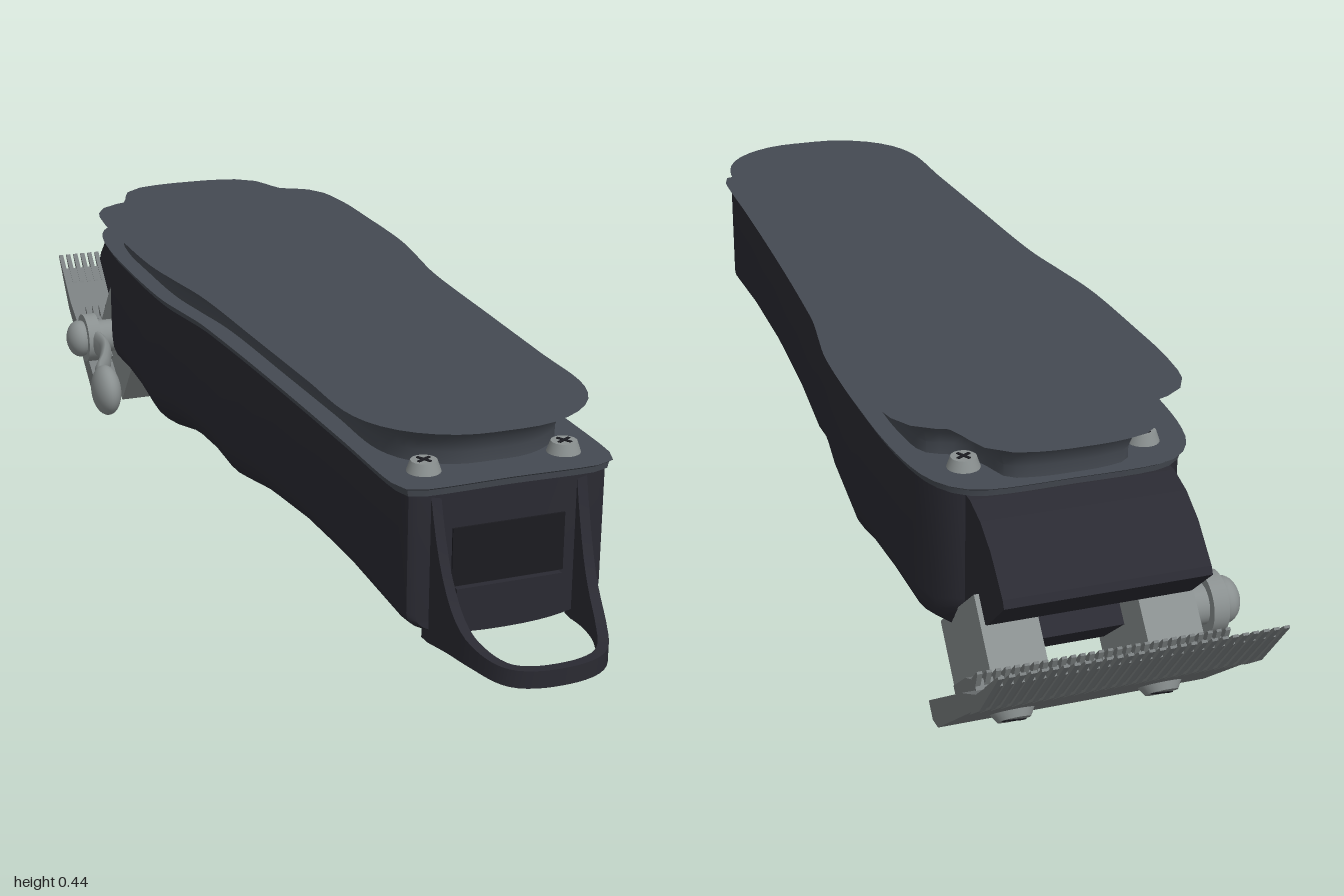
import * as THREE from 'three';
import { toCreasedNormals } from 'three/addons/utils/BufferGeometryUtils.js';

const mat = (name, color) => {
  const m = new THREE.MeshStandardMaterial({ color });
  m.name = name;
  return m;
};
const CX = 0.04; // centre line of the body

// Skin of equal-length rings of [x,y,z], closed at both ends (or joined end to end)
function loft(rings, crease = 0.6) {
  const n = rings[0].length, pos = rings.flat(2), idx = [];
  for (let r = 0; r < rings.length - 1; r++)
    for (let i = 0; i < n; i++) {
      const a = r * n + i, b = r * n + (i + 1) % n;
      idx.push(a, b, b + n, a, b + n, a + n);
    }
  [0, rings.length - 1].forEach((r, end) => {
    const c = pos.length / 3;
    for (let k = 0; k < 3; k++) pos.push(rings[r].reduce((s, p) => s + p[k], 0) / n);
    for (let i = 0; i < n; i++) {
      const a = r * n + i, b = r * n + (i + 1) % n;
      if (end) idx.push(c, a, b); else idx.push(c, b, a);
    }
  });
  // Turn the faces outwards if the signed volume is negative
  let vol = 0;
  const v = i => new THREE.Vector3().fromArray(pos, i * 3);
  for (let i = 0; i < idx.length; i += 3) vol += v(idx[i]).dot(v(idx[i + 1]).cross(v(idx[i + 2])));
  if (vol < 0) idx.reverse();
  const g = new THREE.BufferGeometry();
  g.setAttribute('position', new THREE.Float32BufferAttribute(pos, 3));
  g.setIndex(idx);
  return toCreasedNormals(g, crease);
}

// Side profile of [forward (-z), y] points, extruded across x about the centre
function sideExtrude(pts, width) {
  const g = new THREE.ExtrudeGeometry(new THREE.Shape(pts.map(p => new THREE.Vector2(...p))),
    { depth: width, bevelEnabled: false });
  return g.translate(0, 0, -width / 2).rotateY(Math.PI / 2);
}

// Closed plan outline mirrored from half-outline points [x,z], smoothed
function planOutline(half, count) {
  const all = [...half, ...half.slice(1, -1).reverse().map(([x, z]) => [-x, z])];
  return new THREE.CatmullRomCurve3(all.map(([x, z]) => new THREE.Vector3(x, 0, z)), true, 'centripetal')
    .getSpacedPoints(count).slice(0, count);
}

// Stack of the outline, each layer [inset, y]
function stack(outline, layers) {
  const n = outline.length;
  return loft(layers.map(([d, y]) => outline.map((p, i) => {
    const t = outline[(i + 1) % n].clone().sub(outline[(i + n - 1) % n]).normalize();
    return [CX + p.x + t.z * d * inSign, y, p.z - t.x * d * inSign];
  })));
}
const inSign = -1; // outlines run from +z over +x to -z

export function createModel() {
  const root = new THREE.Group();
  const bodyMat = mat('dark housing', 0x2a2a32);
  const lidMat = mat('slate lid', 0x454a52);
  const metal = mat('polished metal', 0x8a9090);
  const steel = mat('blade steel', 0x787d7e);
  const black = mat('recess black', 0x1b1b20);
  const add = (name, geo, material, parent = root, x = 0, y = 0, z = 0) => {
    const m = new THREE.Mesh(geo, material);
    m.name = name;
    m.position.set(x, y, z);
    parent.add(m);
    return m;
  };
  const box = (w, h, d) => new THREE.BoxGeometry(w, h, d);

  // Housing: stations of [z, half width, bottom y, height of the rounded belly]
  const stations = [
    [0.812, 0.145, 0.142, 0.04], [0.805, 0.157, 0.141, 0.045], [0.785, 0.163, 0.141, 0.05],
    [0.6, 0.168, 0.147, 0.06], [0.4, 0.174, 0.135, 0.08], [0.2, 0.182, 0.11, 0.1],
    [0.05, 0.19, 0.08, 0.115], [-0.02, 0.195, 0.09, 0.115], [-0.1, 0.207, 0.099, 0.11],
    [-0.17, 0.217, 0.093, 0.115], [-0.3, 0.222, 0.058, 0.13], [-0.38, 0.222, 0.08, 0.115],
    [-0.5, 0.22, 0.088, 0.11], [-0.6, 0.211, 0.08, 0.1], [-0.66, 0.196, 0.1, 0.08],
    [-0.695, 0.172, 0.145, 0.05], [-0.712, 0.14, 0.165, 0.03],
  ];
  add('housing', loft(stations.map(([z, w, bottom, belly]) => {
    const ring = [[CX + w, 0.373, z]];
    for (let i = 0; i <= 20; i++) {
      const a = Math.PI * i / 20, c = Math.cos(a);
      ring.push([CX + w * Math.sign(c) * Math.abs(c) ** 0.85,
        bottom + belly * (1 - Math.sin(a) ** 0.85), z]);
    }
    ring.push([CX - w, 0.373, z]);
    return ring;
  })), bodyMat);

  // Rim under the lid follows the housing
  const rimHalf = [[0, 0.812], ...stations.map(([z, w]) => [w, z]), [0, -0.716]];
  add('rim', stack(planOutline(rimHalf, 140), [[0.004, 0.372], [0.006, 0.382], [0.012, 0.386]]), lidMat);

  // Lid with scooped corners for the screws
  const lidHalf = [[0, 0.755], [0.06, 0.75], [0.115, 0.715], [0.143, 0.66], [0.15, 0.5], [0.158, 0.3],
    [0.17, 0.03], [0.185, -0.08], [0.198, -0.18], [0.202, -0.35], [0.2, -0.5], [0.185, -0.575],
    [0.135, -0.605], [0.112, -0.65], [0.095, -0.695], [0.05, -0.708], [0, -0.71]];
  add('lid', stack(planOutline(lidHalf, 160), [[0, 0.38], [0, 0.405], [0.007, 0.424],
    [0.019, 0.439], [0.034, 0.447], [0.048, 0.45]]), lidMat);

  for (const s of [-1, 1]) {
    // Lid slots
    add('lidSlot', box(0.016, 0.006, 0.26), black, root, CX + s * 0.183, 0.438, -0.4).rotation.z = -s * 0.65;
    // Lid screws with cross slots
    for (const [x, z] of [[0.145, -0.64], [0.113, 0.757]]) {
      const screw = new THREE.Group();
      screw.name = 'lidScrew';
      screw.position.set(CX + s * x, 0.383, z);
      add('screwHead', new THREE.CylinderGeometry(0.02, 0.027, 0.02, 24), metal, screw, 0, 0.01, 0);
      for (const r of [0, Math.PI / 2])
        add('screwSlot', box(0.026, 0.002, 0.005), black, screw, 0, 0.0205, 0).rotation.y = r + 0.5;
      root.add(screw);
    }
  }

  // Nose above the blade
  add('nose', sideExtrude([[0.64, 0.15], [0.72, 0.165], [0.8, 0.205], [0.868, 0.268], [0.862, 0.28],
    [0.81, 0.33], [0.765, 0.357], [0.72, 0.37], [0.64, 0.372]], 0.325), bodyMat, root, CX);

  // Socket on the tail end
  add('socketPanel', box(0.18, 0.092, 0.006), black, root, CX, 0.268, 0.812);
  add('socketSill', box(0.17, 0.05, 0.02), bodyMat, root, CX, 0.195, 0.812);

  // Hanging loop: a U in plan whose legs sweep up the tail
  const loop = new THREE.CatmullRomCurve3([[-0.118, 0.79], [-0.113, 0.85], [-0.1, 0.92], [-0.07, 0.975],
    [0, 0.991], [0.07, 0.975], [0.1, 0.92], [0.113, 0.85], [0.118, 0.79]]
    .map(([x, z]) => new THREE.Vector3(x, 0, z)));
  const loopRings = [];
  for (let i = 0; i <= 48; i++) {
    const p = loop.getPoint(i / 48), t = loop.getTangent(i / 48);
    const k = THREE.MathUtils.clamp((0.99 - p.z) / 0.18, 0, 1);
    const top = 0.163 + 0.035 * k + 0.175 * k ** 4, low = 0.136 + 0.01 * Math.sin(k * Math.PI);
    const at = (o, y) => [CX + p.x - t.z * o, y, p.z + t.x * o];
    loopRings.push([at(0.008, low), at(0.008, top), at(-0.008, top), at(-0.008, low)]);
  }
  add('hangingLoop', loft(loopRings), bodyMat);

  // Blade assembly, tilted upwards towards the cutting edge (-z)
  const blade = new THREE.Group();
  blade.name = 'bladeAssembly';
  blade.position.set(CX, 0.006, -0.72);
  blade.rotation.x = 0.7;
  root.add(blade);
  add('fixedBlade', sideExtrude([[0, 0], [0.02, -0.015], [0.25, -0.022], [0.335, -0.006], [0.335, 0],
    [0.25, -0.002], [0.18, 0.012], [0, 0.03]], 0.44), steel, blade);
  add('cutter', sideExtrude([[0.08, 0.01], [0.19, 0.008], [0.19, 0.026], [0.15, 0.036], [0.08, 0.036]], 0.4),
    steel, blade);
  const tooth = sideExtrude([[0.2, -0.023], [0.25, -0.026], [0.37, -0.001], [0.37, 0.003], [0.3, 0]], 0.009);
  const cutterTooth = sideExtrude([[0.18, 0.01], [0.212, 0.03], [0.212, 0.034], [0.18, 0.03]], 0.008);
  for (let i = 0; i < 28; i++) {
    const f = i / 27 - 0.5;
    add('bladeTooth', tooth, steel, blade, f * 0.431);
    add('cutterTooth', cutterTooth, steel, blade, f * 0.392);
  }
  add('bladeMount', box(0.32, 0.07, 0.1), bodyMat, blade, 0, 0.115, -0.05);
  for (const s of [-1, 1]) {
    add('bladePost', box(0.09, 0.13, 0.2), metal, blade, s * 0.125, 0.085, -0.08);
    // Screws on the underside
    const head = add('bladeScrew', new THREE.CylinderGeometry(0.036, 0.026, 0.016, 28), metal, blade,
      s * 0.12, -0.022, -0.085);
    add('bladeScrewSlot', box(0.05, 0.002, 0.008), black, head, 0, -0.0085, 0).rotation.y = 0.6;
  }

  // Adjusting lever on the right side
  const lever = new THREE.Group();
  lever.name = 'lever';
  root.add(lever);
  const disc = (r, len) => new THREE.CylinderGeometry(r, r, len, 28).rotateZ(Math.PI / 2);
  add('leverPivot', disc(0.034, 0.12), metal, lever, -0.14, 0.14, -0.735);
  add('leverHub', disc(0.05, 0.026), metal, lever, -0.185, 0.14, -0.735);
  add('leverScrew', new THREE.SphereGeometry(0.038, 24, 16).scale(0.7, 1, 1), metal, lever, -0.207, 0.14, -0.735);
  const arm = new THREE.CatmullRomCurve3([[-0.182, -0.73], [-0.178, -0.64], [-0.2, -0.56], [-0.228, -0.49], [-0.238, -0.42]]
    .map(([x, z]) => new THREE.Vector3(x, 0, z)));
  add('leverArm', new THREE.TubeGeometry(arm, 28, 0.012, 12).scale(1, 2.2, 1), metal, lever, 0, 0.14, 0);
  add('leverKnob', new THREE.SphereGeometry(0.05, 28, 20).scale(0.55, 0.98, 1), metal, lever, -0.238, 0.138, -0.41);

  return root;
}
